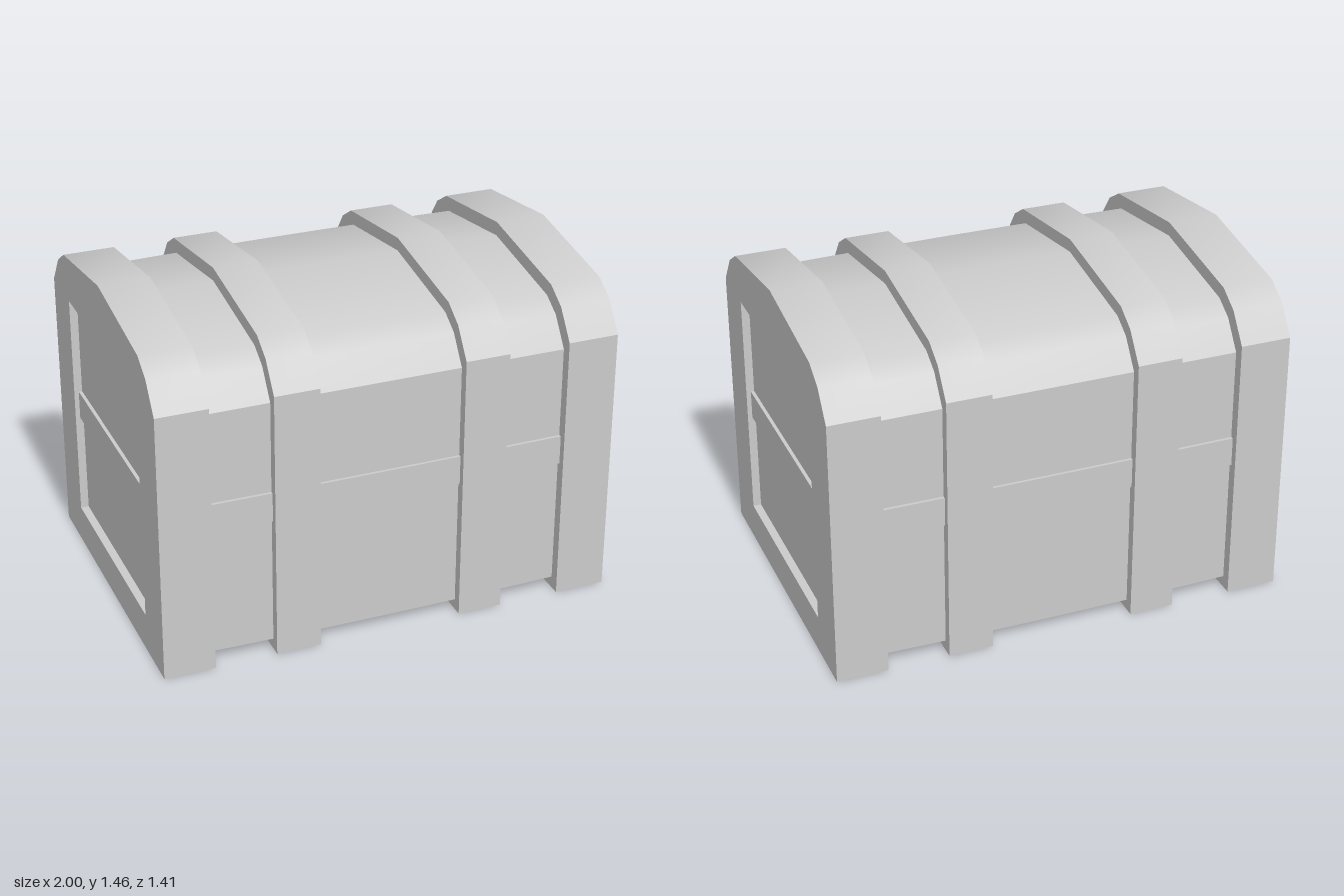
import * as THREE from 'three';
import { toCreasedNormals } from 'three/addons/utils/BufferGeometryUtils.js';

const material = new THREE.MeshStandardMaterial({ color: 0xcccccc });

// Mirror half a [z, y] outline into a closed shape
function mirroredShape(half) {
  const other = half.map(([z, y]) => [-z, y]).reverse().filter(([z]) => z !== 0);
  return new THREE.Shape([...half, ...other].map(([z, y]) => new THREE.Vector2(z, y)));
}

// Extrude a z-y shape along x, optionally swelling towards the middle
function prism(name, shape, x0, x1, swell = 0) {
  let geo = new THREE.ExtrudeGeometry(shape, {
    depth: x1 - x0, steps: swell ? 12 : 1, bevelEnabled: false,
  });
  geo.rotateY(Math.PI / 2).translate(x0, 0, 0);
  if (swell) {
    const p = geo.attributes.position;
    const midY = 0.73;
    for (let i = 0; i < p.count; i++) {
      const s = 1 + swell * (1 - p.getX(i) ** 2);
      p.setY(i, midY + (p.getY(i) - midY) * s);
      p.setZ(i, p.getZ(i) * s);
    }
  }
  geo = toCreasedNormals(geo, 0.5);
  const mesh = new THREE.Mesh(geo, material);
  mesh.name = name;
  return mesh;
}

export function createModel() {
  const chest = new THREE.Group();
  chest.name = 'chest';

  const outer = [[0.705, 0.005], [0.705, 1.2], [0.615, 1.325], [0.52, 1.385], [0, 1.46]];
  const inner = [[0.655, 0.06], [0.655, 1.15], [0.57, 1.27], [0.485, 1.322], [0, 1.395]];
  const beltOutline = [[0.67, 0.625], [0.67, 0.753]];

  // Slightly swollen body with domed lid
  chest.add(prism('body', mirroredShape(inner), -0.965, 0.965, 0.013));

  // Belt around the seam, showing on all four sides
  chest.add(prism('seamBelt', mirroredShape(beltOutline), -0.98, 0.98, 0.009));

  // End frames with a recessed panel opening
  const frame = mirroredShape(outer);
  const opening = [[-0.473, 0.175], [-0.473, 1.19], [0.473, 1.19], [0.473, 0.175]];
  frame.holes.push(new THREE.Path(opening.map(([z, y]) => new THREE.Vector2(z, y))));
  chest.add(prism('leftEndFrame', frame, 0.778, 1));
  chest.add(prism('rightEndFrame', frame, -1, -0.778));

  // Straps around body and lid
  const strap = mirroredShape(outer);
  chest.add(prism('leftStrap', strap, 0.315, 0.51));
  chest.add(prism('rightStrap', strap, -0.51, -0.315));

  return chest;
}
